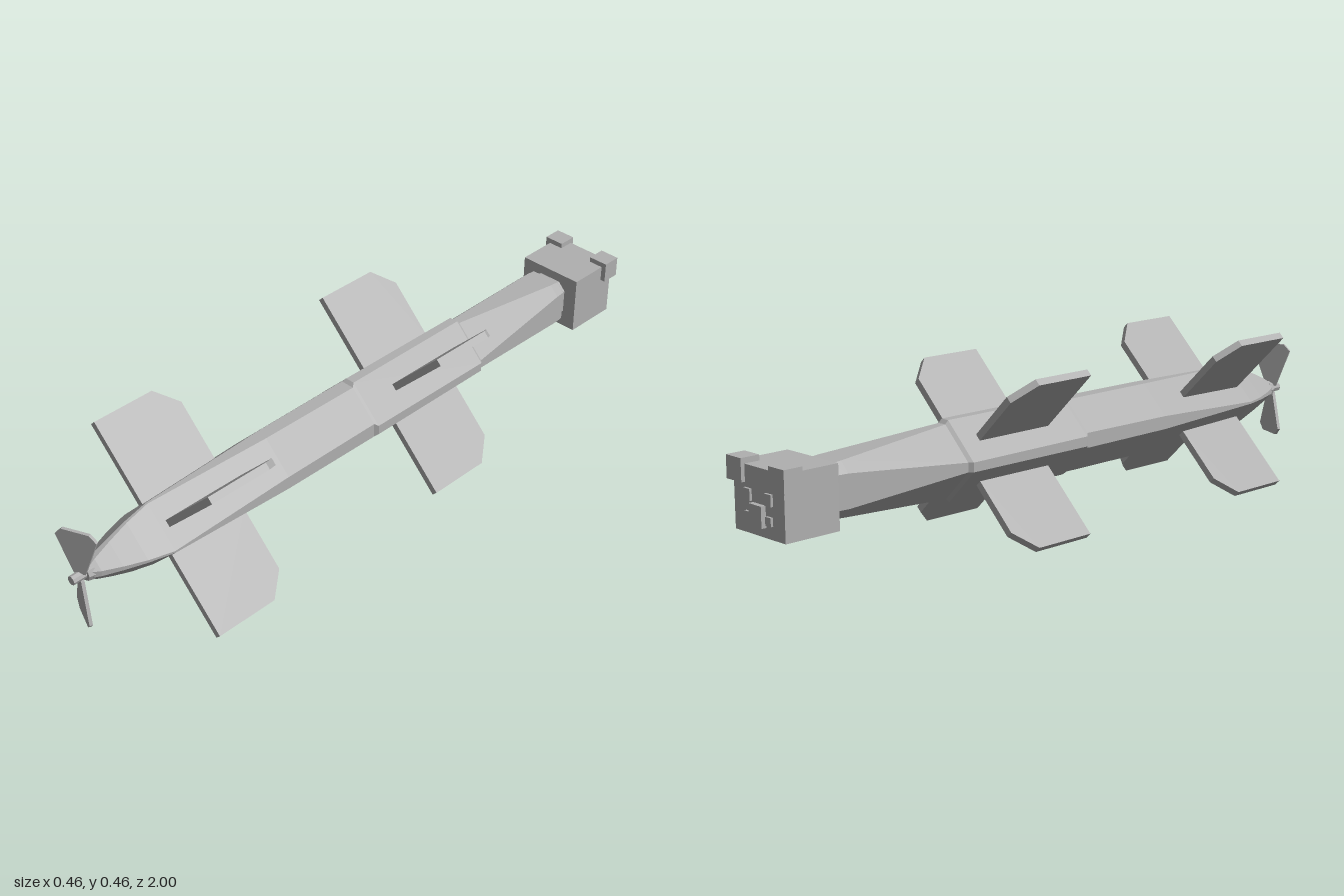
import * as THREE from 'three';

const grey = new THREE.MeshStandardMaterial({ color: 0xb0b0b0, flatShading: true });
grey.name = 'plain grey';
const AXIS_Y = 0.23;

// Diamond with cut corners: r is the reach, h half the width of each cut
function section(z, r, h) {
  return [[r, -h], [r, h], [h, r], [-h, r], [-r, h], [-r, -h], [-h, -r], [h, -r]]
    .map(([x, y]) => [x, y, z]);
}

// Skin over sections listed from front to back, closed at both ends
function loft(sections) {
  const rings = sections.map((s) => section(...s));
  const pos = [];
  const tri = (...pts) => pts.forEach((p) => pos.push(...p));
  const last = rings.length - 1;
  for (let j = 0; j < 8; j++) {
    const k = (j + 1) % 8;
    for (let i = 0; i < last; i++) {
      const a = rings[i][j], b = rings[i][k], c = rings[i + 1][k], d = rings[i + 1][j];
      tri(a, d, b);
      tri(d, c, b);
    }
    tri([0, 0, sections[0][0]], rings[0][j], rings[0][k]);
    tri([0, 0, sections[last][0]], rings[last][k], rings[last][j]);
  }
  const geo = new THREE.BufferGeometry();
  geo.setAttribute('position', new THREE.Float32BufferAttribute(pos, 3));
  geo.computeVertexNormals();
  return geo;
}

function plate(points, depth) {
  const shape = new THREE.Shape(points.map(([x, y]) => new THREE.Vector2(x, y)));
  const geo = new THREE.ExtrudeGeometry(shape, { depth, bevelEnabled: false });
  return geo.translate(0, 0, -depth / 2);
}

export function createModel() {
  const model = new THREE.Group();
  model.name = 'finnedCraft';
  const add = (name, geo, x = 0, y = AXIS_Y, z = 0) => {
    const mesh = new THREE.Mesh(geo, grey);
    mesh.name = name;
    mesh.position.set(x, y, z);
    model.add(mesh);
    return mesh;
  };
  const box = (name, w, h, d, x, y, z) => add(name, new THREE.BoxGeometry(w, h, d), x, y, z);

  // Hull with tapering nose, thicker middle and rounder tail
  add('hull', loft([
    [0.95, 0.02, 0.009], [0.93, 0.033, 0.008], [0.88, 0.056, 0.006], [0.82, 0.08, 0.004],
    [0.75, 0.1, 0.003], [0.36, 0.102, 0.019], [0.04, 0.102, 0.021],
    [0.03, 0.11, 0.014], [-0.39, 0.11, 0.013], [-0.4, 0.1, 0.013],
    [-0.77, 0.073, 0.045], [-0.8, 0.07, 0.045], [-0.815, 0.058, 0.035], [-0.83, 0.058, 0.035],
  ]));

  // Two sets of four diagonal fins with a clipped rear tip
  const finShape = [[0.07, 0], [0.252, 0], [0.314, 0.06], [0.314, 0.25], [0.07, 0.25]];
  for (const [name, z] of [['frontFin', 0.48], ['rearFin', -0.33]]) {
    for (let i = 0; i < 4; i++) {
      const geo = plate(finShape, 0.02).rotateX(Math.PI / 2);
      add(name, geo, 0, AXIS_Y, z).rotation.z = Math.PI / 4 + i * Math.PI / 2;
    }
  }

  // Propeller
  add('hub', new THREE.CylinderGeometry(0.013, 0.013, 0.06, 8).rotateX(Math.PI / 2), 0, AXIS_Y, 0.97);
  add('hubCollar', new THREE.CylinderGeometry(0.022, 0.026, 0.02, 8).rotateX(Math.PI / 2), 0, AXIS_Y, 0.95);
  const bladeShape = [[-0.016, 0.008], [0.016, 0.008], [0.057, 0.12], [0.038, 0.14], [-0.038, 0.14], [-0.057, 0.12]];
  for (let i = 0; i < 2; i++) {
    const geo = plate(bladeShape, 0.009).rotateY(0.4);
    add('propellerBlade', geo, 0, AXIS_Y, 0.97).rotation.z = i * Math.PI;
  }

  // Block head at the tail with ears and a simple face
  box('head', 0.2, 0.17, 0.163, 0, 0.23, -0.9035);
  for (const s of [-1, 1]) {
    box('ear', 0.06, 0.06, 0.055, s * 0.085, 0.3, -0.968);
    box('eye', 0.026, 0.03, 0.008, s * 0.042, 0.243, -0.988);
    box('cheek', 0.022, 0.022, 0.008, s * 0.042, 0.19, -0.988);
  }
  box('muzzle', 0.05, 0.055, 0.015, 0, 0.198, -0.9915);

  return model;
}
